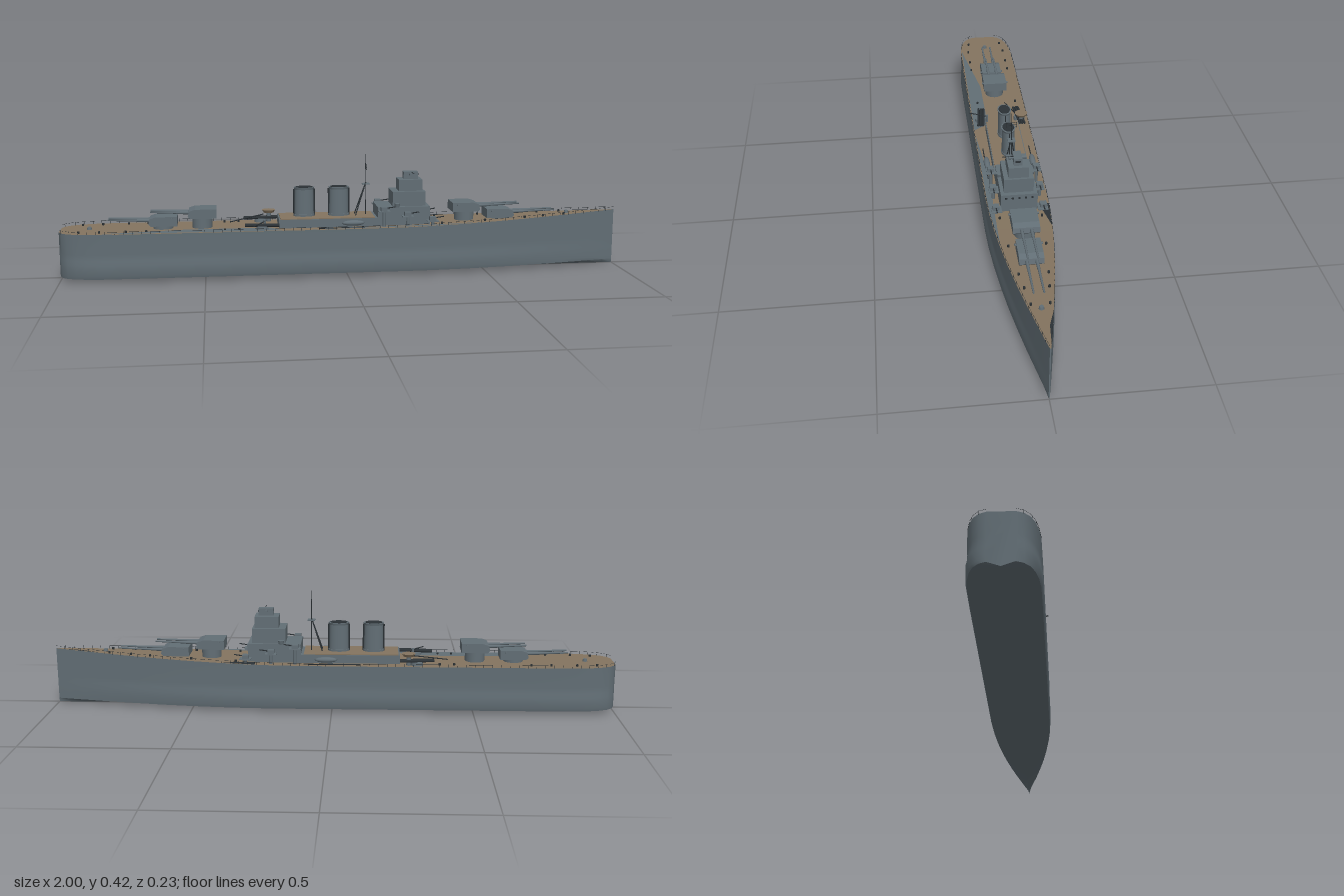
import * as THREE from 'three';
import { toCreasedNormals } from 'three/addons/utils/BufferGeometryUtils.js';

const mat = (name, color, side = THREE.FrontSide) => {
  const m = new THREE.MeshStandardMaterial({ color, side });
  m.name = name;
  return m;
};

// Plan of the hull: x and half beam
const PLAN = [[-1, 0.042], [-0.99, 0.064], [-0.97, 0.082], [-0.94, 0.095], [-0.9, 0.104], [-0.85, 0.109], [-0.7, 0.11],
  [-0.4, 0.11], [0, 0.11], [0.2, 0.11], [0.3, 0.107], [0.4, 0.1], [0.5, 0.09], [0.6, 0.077], [0.7, 0.061],
  [0.8, 0.043], [0.9, 0.023], [0.96, 0.011], [1, 0.002]];
const halfBeam = x => {
  const i = Math.max(1, PLAN.findIndex(p => p[0] >= x));
  const [x0, w0] = PLAN[i - 1], [x1, w1] = PLAN[i];
  return w0 + (w1 - w0) * (x - x0) / (x1 - x0);
};
const deckY = x => 0.168 + 0.03 * Math.pow(Math.max(0, (x - 0.1) / 0.9), 1.4);

function surface(positions, index) {
  const g = new THREE.BufferGeometry();
  g.setAttribute('position', new THREE.Float32BufferAttribute(positions, 3));
  g.setIndex(index);
  return toCreasedNormals(g, 0.6);
}

function hullGeometry() {
  const pos = [], idx = [];
  for (const [x, w] of PLAN) {
    const side = [[deckY(x) + 0.003, 0.975], [0.1, 0.96], [0.078, 0.965], [0.062, 1], [0.025, 0.99], [0.014, 0.96]];
    side.forEach(([y, f]) => pos.push(x, y, w * f));
    pos.push(x, 0, 0);
    side.reverse().forEach(([y, f]) => pos.push(x, y, -w * f));
  }
  const n = 13, last = (PLAN.length - 1) * n;
  for (let s = 0; s < PLAN.length - 1; s++) for (let i = 0; i < n - 1; i++) {
    const a = s * n + i, b = a + n;
    idx.push(a, a + 1, b + 1, a, b + 1, b);
  }
  for (let i = 1; i < n - 1; i++) idx.push(0, i + 1, i, last, last + i, last + i + 1);
  return surface(pos, idx);
}

function deckGeometry() {
  const pos = [], idx = [];
  PLAN.forEach(([x, w], s) => {
    pos.push(x, deckY(x) + 0.002, w * 0.972, x, deckY(x) + 0.002, -w * 0.972);
    if (s) { const a = s * 2 - 2; idx.push(a, a + 2, a + 3, a, a + 3, a + 1); }
  });
  return surface(pos, idx);
}

export function createModel() {
  const ship = new THREE.Group();
  ship.name = 'warship';
  const grey = mat('hullGrey', 0x626e75);
  const wood = mat('deckWood', 0x84745f);
  const plate = mat('steelDeck', 0x626e75, THREE.DoubleSide);
  const dark = mat('darkSteel', 0x2b3135, THREE.DoubleSide);

  const add = (name, geo, m, x = 0, y = 0, z = 0, parent = ship) => {
    const mesh = new THREE.Mesh(geo, m);
    mesh.name = name;
    mesh.position.set(x, y, z);
    parent.add(mesh);
    return mesh;
  };
  // Box given by its extent in x and y, with its width and centre in z
  const block = (name, x0, x1, y0, y1, w, m = grey, z = 0, parent = ship) =>
    add(name, new THREE.BoxGeometry(x1 - x0, y1 - y0, w), m, (x0 + x1) / 2, (y0 + y1) / 2, z, parent);
  const rod = (name, a, b, r, m = grey, parent = ship, r2 = r) => {
    const p = new THREE.Vector3(...a), q = new THREE.Vector3(...b), d = q.clone().sub(p);
    const mesh = add(name, new THREE.CylinderGeometry(r2, r, d.length(), 8), m, 0, 0, 0, parent);
    mesh.position.copy(p.add(q).multiplyScalar(0.5));
    mesh.quaternion.setFromUnitVectors(new THREE.Vector3(0, 1, 0), d.normalize());
    return mesh;
  };

  add('hull', hullGeometry(), grey);
  add('deck', deckGeometry(), wood);

  // Bare steel areas on the deck
  const patch = (name, pts, m) => {
    const g = new THREE.ShapeGeometry(new THREE.Shape(pts.map(([x, z]) => new THREE.Vector2(x, -z))));
    g.rotateX(-Math.PI / 2);
    const p = g.attributes.position;
    for (let i = 0; i < p.count; i++) p.setY(i, deckY(p.getX(i)) + 0.004);
    add(name, g, m);
  };
  patch('aftSteelDeck', [[-0.87, 0.1], [-0.56, 0.05], [-0.27, 0.05], [-0.23, 0.104]], plate);
  patch('sideSteelDeck', [[-0.2, 0.104], [0.1, 0.08], [0.3, 0.085], [0.5, 0.086], [0.3, 0.103]], plate);
  patch('sideDarkDeck', [[0.27, -0.07], [0.27, -0.105], [0.3, -0.103], [0.4, -0.096]], dark);
  patch('bowDarkDeck', [[0.83, -0.036], [0.9, -0.022], [0.98, -0.006], [0.9, -0.013]], dark);

  // Deckhouse and stepped bridge tower
  block('deckhouse', -0.24, 0.12, 0.165, 0.2, 0.124);
  block('deckhouseRoof', -0.235, 0.1, 0.2, 0.203, 0.118, wood);
  block('bridgeBase', 0.11, 0.298, 0.165, 0.238, 0.124);
  block('bridgeWings', 0.2, 0.27, 0.238, 0.247, 0.1);
  block('bridgeLower', 0.165, 0.283, 0.238, 0.29, 0.1);
  block('bridgeMiddle', 0.19, 0.275, 0.29, 0.33, 0.068);
  block('bridgeTop', 0.21, 0.262, 0.33, 0.356, 0.028);
  rod('rangefinder', [0.235, 0.347, -0.03], [0.235, 0.347, 0.03], 0.006);
  rod('rangefinderArm', [0.24, 0.354, 0], [0.24, 0.354, 0.052], 0.0012, dark);
  block('topWindows', 0.262, 0.264, 0.343, 0.349, 0.018, dark);
  for (let i = -2; i <= 2; i++) block('baseWindow', 0.298, 0.3, 0.222, 0.228, 0.008, dark, i * 0.022);

  // Oval funnels with dark mouths and hoops
  for (const x of [-0.147, -0.023]) {
    const f = new THREE.Group();
    f.name = 'funnel';
    f.position.set(x, 0.2, 0);
    f.scale.z = 0.68;
    ship.add(f);
    add('funnelCasing', new THREE.CylinderGeometry(0.033, 0.035, 0.104, 24), grey, 0, 0.052, 0, f);
    add('funnelCap', new THREE.CylinderGeometry(0.037, 0.034, 0.008, 24), grey, 0, 0.102, 0, f);
    add('funnelMouth', new THREE.CylinderGeometry(0.03, 0.03, 0.002, 24), dark, 0, 0.107, 0, f);
    add('funnelFoot', new THREE.CylinderGeometry(0.038, 0.038, 0.008, 24), grey, 0, 0.006, 0, f);
    for (const s of [-1, 1]) rod('steamPipe', [s * 0.036, 0, 0], [s * 0.036, 0.1, 0], 0.003, dark, f);
  }

  // Twin gun turrets, with barrels pointing along dir
  const turret = (x, floor, dir, w, reach) => {
    const t = new THREE.Group();
    t.name = 'gunTurret';
    t.position.set(x, floor, 0);
    t.rotation.y = dir > 0 ? 0 : Math.PI;
    ship.add(t);
    const base = floor - deckY(x) + 0.006;
    add('barbette', new THREE.CylinderGeometry(0.035, 0.035, base, 20), grey, 0, -base / 2 + 0.002, 0, t);
    const s = new THREE.Shape([[-0.05, 0], [0.042, 0], [0.05, 0.008], [0.046, 0.026], [0.025, 0.033], [-0.05, 0.033]]
      .map(p => new THREE.Vector2(...p)));
    const g = new THREE.ExtrudeGeometry(s, { depth: w, bevelEnabled: false });
    add('gunhouse', g.translate(0, 0, -w / 2), grey, 0, 0, 0, t);
    for (const z of [-0.016, 0.016]) {
      rod('barrelSleeve', [0.04, 0.018, z], [0.09, 0.019, z], 0.006, grey, t, 0.005);
      rod('barrel', [0.08, 0.019, z], [reach, 0.023, z], 0.0045, grey, t, 0.003);
    }
    rod('turretRangefinder', [-0.03, 0.026, -w / 2 - 0.006], [-0.03, 0.026, w / 2 + 0.006], 0.004, grey, t);
  };
  turret(0.435, 0.211, 1, 0.088, 0.2);
  turret(0.562, 0.185, 1, 0.08, 0.205);
  turret(-0.508, 0.207, -1, 0.088, 0.18);
  turret(-0.645, 0.182, -1, 0.076, 0.19);

  // Tripod mast with a lattice aerial
  rod('mast', [0.075, 0.2, 0], [0.075, 0.42, 0], 0.002, dark, ship, 0.001);
  for (const s of [-1, 1]) {
    rod('mastLeg', [0.035, 0.2, s * 0.018], [0.075, 0.32, 0], 0.002, dark);
    rod('aerialPost', [0.075, 0.365, s * 0.018], [0.075, 0.385, s * 0.018], 0.0008, dark);
  }
  for (const y of [0.366, 0.375, 0.384]) rod('aerialBar', [0.075, y, -0.018], [0.075, y, 0.018], 0.0008, dark);
  block('mastPlatform', 0.062, 0.088, 0.312, 0.315, 0.026);

  for (const s of [-1, 1]) {
    // Light guns on raised stands beside the bridge
    for (const [x, y] of [[0.13, 0.228], [0.215, 0.208], [0.305, 0.19]]) {
      rod('gunStand', [x, deckY(x), s * 0.08], [x, y, s * 0.08], 0.006);
      block('gunPlatform', x - 0.02, x + 0.02, y - 0.003, y, 0.034, grey, s * 0.078);
      block('lightGun', x - 0.012, x + 0.01, y, y + 0.014, 0.022, grey, s * 0.08);
      rod('lightBarrel', [x + 0.005, y + 0.009, s * 0.08], [x + 0.04, y + 0.014, s * 0.08], 0.002, dark);
    }
    // Torpedo tubes
    for (let i = 0; i < 3; i++) {
      const z = s * (0.07 + i * 0.009);
      rod('torpedoTube', [-0.36, 0.186, z - s * 0.012], [-0.24, 0.186, z], 0.0045, dark);
    }
    add('tubeMount', new THREE.CylinderGeometry(0.02, 0.022, 0.014, 16), grey, -0.3, 0.176, s * 0.074);
    // Ship's boats
    const boat = add('boat', new THREE.SphereGeometry(1, 14, 8), grey, 0.02, 0.188, s * 0.082);
    boat.scale.set(0.04, 0.01, 0.011);
    rod('sideMooring', [-0.1, 0.172, s * 0.085], [0.1, 0.172, s * 0.085], 0.002, dark);
    // Searchlight
    add('searchlight', new THREE.CylinderGeometry(0.011, 0.008, 0.014, 12), grey, 0.18, 0.243, s * 0.056);
  }
  // Aft control position and crane
  add('aftDirector', new THREE.CylinderGeometry(0.024, 0.018, 0.01, 16), wood, -0.27, 0.208, -0.078);
  rod('directorPost', [-0.27, 0.168, -0.078], [-0.27, 0.204, -0.078], 0.008);
  rod('cranePost', [-0.29, 0.168, 0.05], [-0.29, 0.2, 0.05], 0.004);
  rod('craneJib', [-0.29, 0.195, 0.05], [-0.33, 0.19, 0.114], 0.002, dark);
  rod('aftBoom', [-0.41, 0.18, -0.03], [-0.29, 0.2, -0.06], 0.002, dark);

  // Deck fittings in mirrored rows
  for (const s of [-1, 1]) for (const x of [-0.93, -0.86, -0.77, -0.7, -0.43, -0.38, 0.34, 0.5, 0.65, 0.72, 0.8])
    add('bollard', new THREE.CylinderGeometry(0.004, 0.004, 0.009, 8), dark, x, deckY(x) + 0.005, s * halfBeam(x) * 0.68);
  for (const x of [-0.9, 0.82]) add('capstan', new THREE.CylinderGeometry(0.007, 0.009, 0.01, 12), grey, x, deckY(x) + 0.006, 0);

  // Guard rails along the deck edge
  const rails = new THREE.Group();
  rails.name = 'guardRails';
  ship.add(rails);
  for (const s of [-1, 1]) {
    const edge = (x, h) => [x, deckY(x) + h, s * halfBeam(x) * 0.965];
    for (let i = 0; i <= 64; i++) {
      const x = -0.99 + i * 0.0306;
      rod('railPost', edge(x, 0), edge(x, 0.013), 0.0007, dark, rails);
    }
    for (let i = 1; i < PLAN.length; i++)
      rod('railWire', edge(PLAN[i - 1][0], 0.012), edge(PLAN[i][0], 0.012), 0.0004, dark, rails);
  }
  return ship;
}
